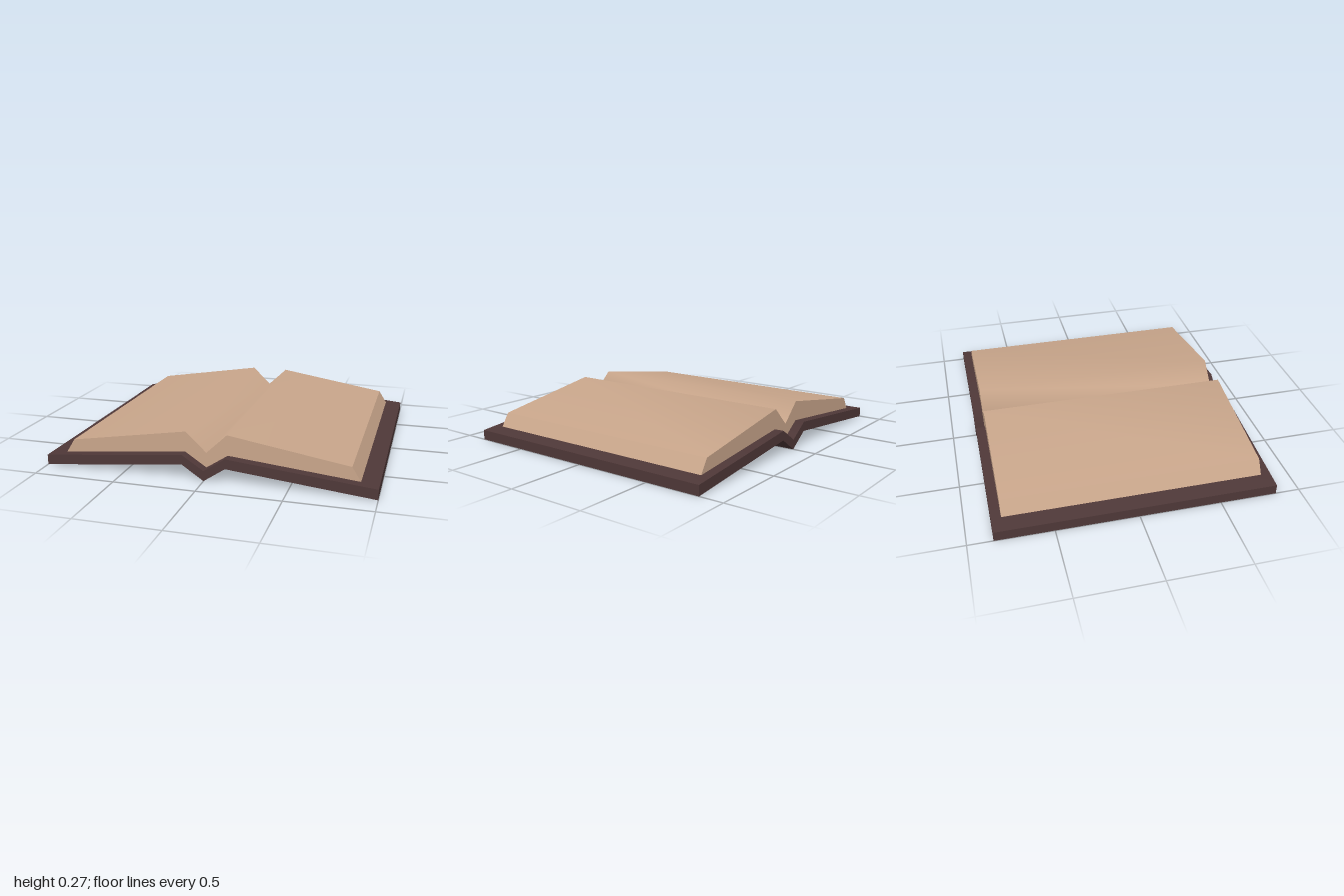
import * as THREE from 'three';

const paperMat = new THREE.MeshStandardMaterial({ name: 'paper', color: 0xc9a68b });
const coverMat = new THREE.MeshStandardMaterial({ name: 'leatherCover', color: 0x4f3838 });

// Mirror a half profile (outer edge to spine, x > 0) into a full left-to-right line
function mirrored(half) {
  const left = half.map(([x, y]) => [-x, y]);
  const right = half.slice(0, -1).reverse();
  return [...left, ...right];
}

// Smooth band swept along z; the outside lies left of the profile's direction
function band(points, depth) {
  const pos = [], index = [];
  points.forEach(([x, y], i) => {
    pos.push(x, y, depth, x, y, -depth);
    if (i < points.length - 1) {
      const a = i * 2;
      index.push(a, a + 2, a + 3, a, a + 3, a + 1);
    }
  });
  const g = new THREE.BufferGeometry();
  g.setAttribute('position', new THREE.Float32BufferAttribute(pos, 3));
  g.setIndex(index);
  g.computeVertexNormals();
  return g;
}

// Symmetrical slab: smooth top and bottom, crisp fore edges and flat ends
function slab(name, topHalf, bottomHalf, depth, material) {
  const group = new THREE.Group();
  group.name = name;
  const add = (part, geometry) => {
    const mesh = new THREE.Mesh(geometry, material);
    mesh.name = name + part;
    group.add(mesh);
    return mesh;
  };
  const top = mirrored(topHalf);
  const bottom = mirrored(bottomHalf).reverse();
  add('Top', band(top, depth));
  add('Bottom', band(bottom, depth));
  add('LeftEdge', band([top[top.length - 1], bottom[0]], depth));
  add('RightEdge', band([bottom[bottom.length - 1], top[0]], depth));

  const outline = new THREE.Shape([...top, ...bottom].map(([x, y]) => new THREE.Vector2(x, y)));
  const end = new THREE.ShapeGeometry(outline);
  add('FrontEnd', end).position.z = depth;
  const back = add('BackEnd', end);
  back.position.z = -depth;
  back.rotation.y = Math.PI;
  return group;
}

export function createModel() {
  const book = new THREE.Group();
  book.name = 'openBook';

  // Cover, folded into a V at the spine
  book.add(slab('cover',
    [[1, 0.062], [0.13, 0.148], [0, 0.062]],
    [[1, 0], [0.13, 0.088], [0, 0]],
    0.85, coverMat));

  // Page block resting on the cover
  book.add(slab('pages',
    [[0.845, 0.155], [0.125, 0.272], [0, 0.153]],
    [[0.897, 0.072], [0.13, 0.148], [0, 0.062]],
    0.79, paperMat));

  return book;
}
